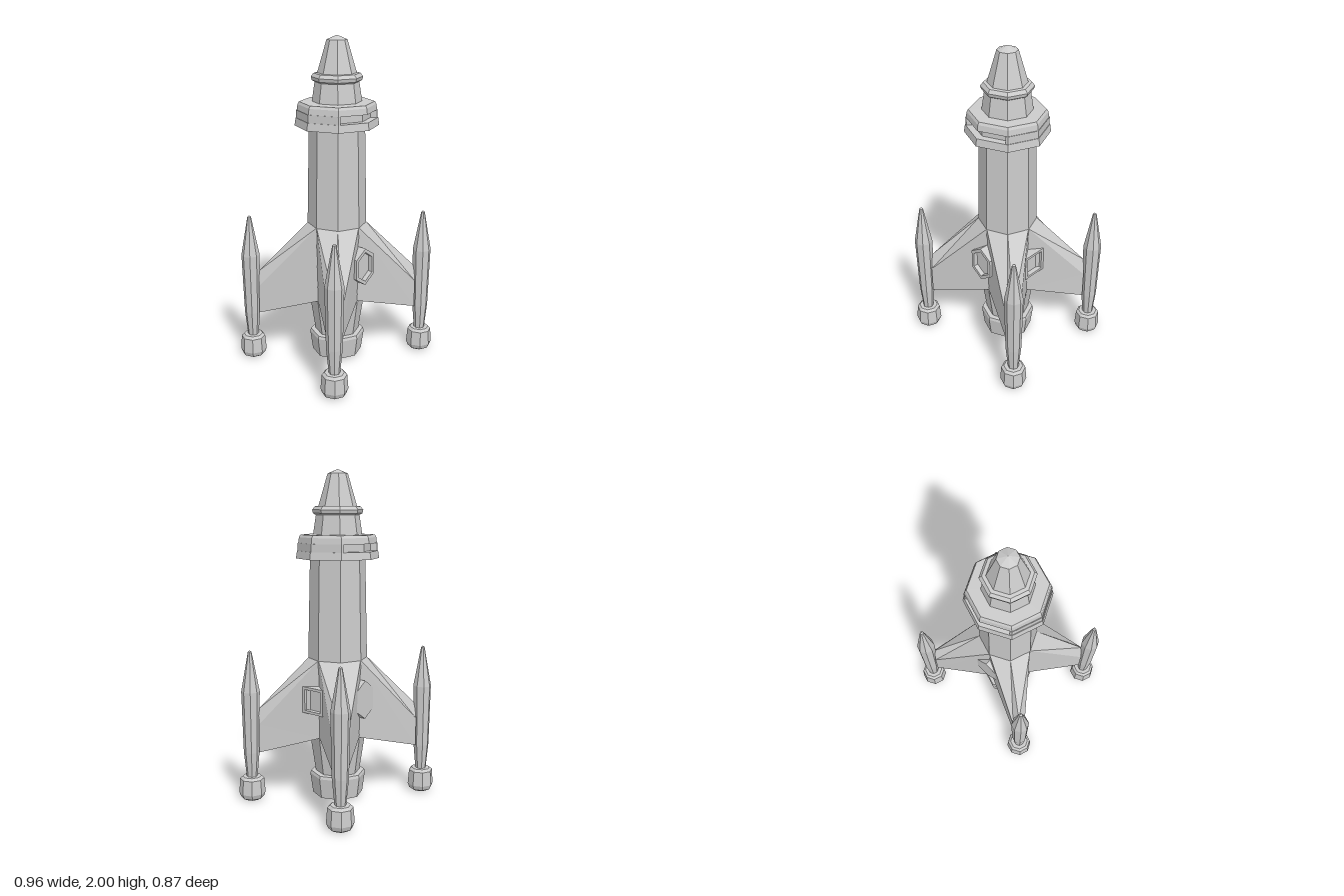
import * as THREE from 'three';

const material = new THREE.MeshStandardMaterial({ color: 0xcccccc, flatShading: true, side: THREE.DoubleSide });

function mesh(name, geometry) {
  const m = new THREE.Mesh(geometry, material);
  m.name = name;
  return m;
}

// Eight-sided turned part, profile listed from bottom to top
function turned(name, profile) {
  return mesh(name, new THREE.LatheGeometry(profile.map(([r, y]) => new THREE.Vector2(r, y)), 8));
}

const shapeOf = (pts) => new THREE.Shape(pts.map(([x, y]) => new THREE.Vector2(x, y)));
const extrude = (shape, depth) => new THREE.ExtrudeGeometry(shape, { depth, bevelEnabled: false });

// Swept fin: five-sided section lofted from the hull to the pod
function fin(sx, sz) {
  const root = [[0.125, 0.88, 0.125], [0, 0.88, 0.178], [0, 0.4, 0.17], [0.17, 0.4, 0], [0.178, 0.88, 0]];
  const tip = [[0.365, 0.57, 0.323], [0.342, 0.48, 0.352], [0.342, 0.305, 0.352], [0.392, 0.305, 0.296], [0.392, 0.48, 0.296]];
  const positions = [...root, ...tip].flatMap(([x, y, z]) => [x * sx, y, z * sz]);
  const index = [];
  for (let i = 0; i < 5; i++) {
    const j = (i + 1) % 5;
    const quad = [i, j, j + 5, i, j + 5, i + 5];
    index.push(...(sx * sz > 0 ? quad : quad.reverse()));
  }
  const g = new THREE.BufferGeometry();
  g.setAttribute('position', new THREE.Float32BufferAttribute(positions, 3));
  g.setIndex(index);
  const flat = g.toNonIndexed();
  flat.computeVertexNormals();
  return mesh('fin', flat);
}

// Raised window frame with a recessed pane, facing +z
function windowFrame(name, outline) {
  const group = new THREE.Group();
  group.name = name;
  const inner = outline.map(([x, y]) => [x * 0.76, y * 0.8]);
  const ring = shapeOf(outline);
  ring.holes.push(new THREE.Path(inner.map(([x, y]) => new THREE.Vector2(x, y))));
  const frame = mesh('windowRim', extrude(ring, 0.075));
  frame.position.z = 0.16;
  const pane = mesh('windowPane', extrude(shapeOf(inner), 0.045));
  pane.position.z = 0.16;
  group.add(frame, pane);
  group.position.y = 0.643;
  return group;
}

export function createModel() {
  const model = new THREE.Group();
  model.name = 'rocket';

  // Hull with flared engine skirt and hollow nozzle
  model.add(turned('hull', [
    [0, 0.09], [0.06, 0.09], [0.095, 0.015], [0.155, 0.015], [0.172, 0.14], [0.166, 0.157],
    [0.137, 0.16], [0.17, 0.38], [0.18, 0.88], [0.166, 1.5],
  ]));

  // Observation collar: two bands, recessed core, solid sides between the slots
  model.add(turned('collarLower', [[0.15, 1.48], [0.25, 1.48], [0.243, 1.525], [0.15, 1.525]]));
  model.add(turned('collarUpper', [[0.15, 1.57], [0.236, 1.57], [0.231, 1.605], [0.222, 1.62], [0.14, 1.622]]));
  model.add(turned('collarCore', [[0.2, 1.52], [0.2, 1.575]]));
  for (const s of [1, -1]) {
    const c = 0.2395 * Math.SQRT1_2;
    const block = extrude(shapeOf([[0, 0], [s * 0.157, -0.174], [s * c, -c], [s * 0.2395, 0], [s * c, c], [s * 0.157, 0.174]]), 0.047);
    block.rotateX(-Math.PI / 2);
    const side = mesh('collarSide', block);
    side.position.y = 1.524;
    model.add(side);
  }

  // Neck and nose cone
  model.add(turned('neck', [
    [0.148, 1.615], [0.13, 1.735], [0.147, 1.745], [0.152, 1.765], [0.136, 1.785], [0.115, 1.787],
  ]));
  model.add(turned('noseCone', [[0.117, 1.78], [0.06, 1.975], [0, 2]]));

  // Fins, each carrying a slim pod on a foot
  for (const sx of [1, -1]) for (const sz of [1, -1]) {
    model.add(fin(sx, sz));
    const pod = turned('pod', [[0.033, 0.14], [0.048, 0.3], [0.056, 0.68], [0.011, 0.925], [0, 0.933]]);
    const foot = turned('foot', [
      [0, 0], [0.05, 0], [0.07, 0.012], [0.081, 0.04], [0.074, 0.13], [0.058, 0.145], [0, 0.145],
    ]);
    for (const part of [pod, foot]) {
      part.position.set(sx * 0.4, 0, sz * 0.355);
      model.add(part);
    }
  }

  // Windows between the fins
  const hexagon = [[0, -0.117], [0.08, -0.062], [0.08, 0.062], [0, 0.117], [-0.08, 0.062], [-0.08, -0.062]];
  const square = [[-0.08, -0.08], [0.08, -0.08], [0.08, 0.08], [-0.08, 0.08]];
  model.add(windowFrame('frontWindow', hexagon));
  const sideWindow = windowFrame('sideWindow', square);
  sideWindow.rotation.y = Math.PI / 2;
  model.add(sideWindow);

  // Plain hatch at the back
  const hatch = mesh('backHatch', extrude(shapeOf(hexagon), 0.055));
  hatch.position.set(0, 0.643, -0.215);
  model.add(hatch);

  return model;
}
